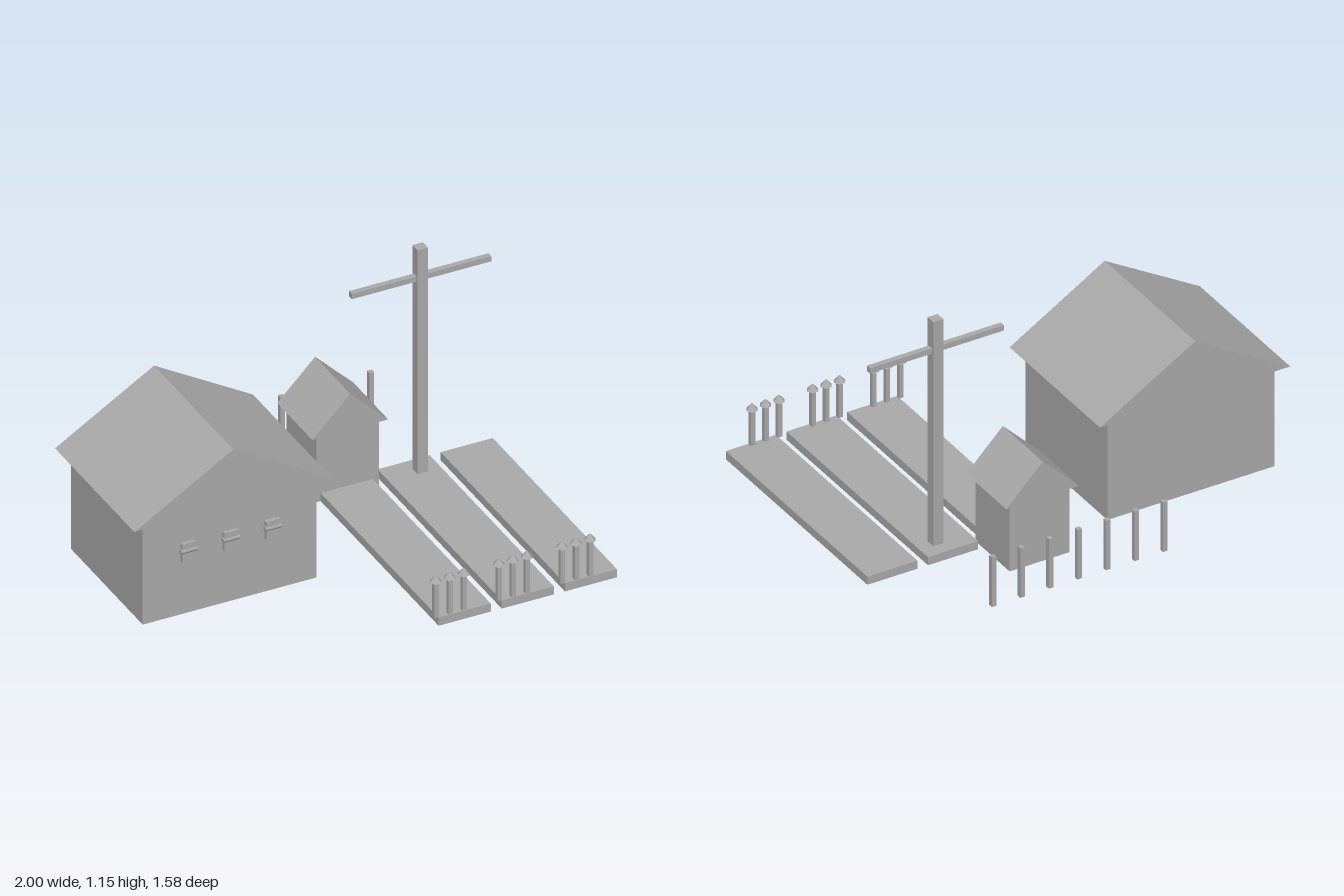
import * as THREE from 'three';

export function createModel() {
  const model = new THREE.Group();
  const grey = new THREE.MeshStandardMaterial({ color: 0xaaaaaa });
  grey.name = 'plain grey';

  function add(name, geometry, x, y, z, parent = model) {
    const mesh = new THREE.Mesh(geometry, grey);
    mesh.name = name;
    mesh.position.set(x, y, z);
    parent.add(mesh);
    return mesh;
  }

  // Box standing on height y
  function block(name, w, h, d, x, y, z, parent) {
    return add(name, new THREE.BoxGeometry(w, h, d), x, y + h / 2, z, parent);
  }

  function group(name) {
    const g = new THREE.Group();
    g.name = name;
    model.add(g);
    return g;
  }

  // Walls with an overhanging gable roof, ridge along z
  function building(name, x, z, wall, roof) {
    const g = group(name);
    block('walls', wall.w, wall.h, wall.d, x, 0, z, g);
    const gable = new THREE.Shape([
      new THREE.Vector2(-roof.w / 2, 0),
      new THREE.Vector2(roof.w / 2, 0),
      new THREE.Vector2(0, roof.h),
    ]);
    const prism = new THREE.ExtrudeGeometry(gable, { depth: roof.d, bevelEnabled: false });
    add('roof', prism, x, wall.h, z - roof.d / 2, g);
    return g;
  }

  const house = building('house', -0.535, -0.123,
    { w: 0.816, h: 0.495, d: 0.665 }, { w: 0.93, h: 0.277, d: 0.735 });
  building('shed', 0.285, -0.452,
    { w: 0.294, h: 0.332, d: 0.275 }, { w: 0.357, h: 0.178, d: 0.325 });

  // Windows, each with a round crossbar
  const barGeometry = new THREE.CylinderGeometry(0.0125, 0.0125, 0.076, 8).rotateZ(Math.PI / 2);
  for (const x of [-0.733, -0.535, -0.338]) {
    block('window', 0.066, 0.09, 0.018, x, 0.265, 0.219, house);
    add('windowBar', barGeometry, x, 0.318, 0.22, house);
  }

  // Garden beds, each with a row of three flowers
  const headGeometry = new THREE.ConeGeometry(0.027, 0.032, 6).rotateY(Math.PI / 6).toNonIndexed();
  headGeometry.computeVertexNormals();
  for (let i = 0; i < 3; i++) {
    const g = group('gardenBed');
    const x = 0.281 + i * 0.2965;
    block('soil', 0.245, 0.04, 1.15, x, 0, 0.203, g);
    for (let j = 0; j < 3; j++) {
      const fx = x - 0.13 + j * 0.066;
      block('flowerStem', 0.021, 0.175, 0.021, fx, 0.04, 0.765, g);
      add('flowerHead', headGeometry, fx, 0.23, 0.765, g);
    }
  }

  // Tall pole with crossbar
  const pole = group('utilityPole');
  block('post', 0.049, 1.11, 0.047, 0.612, 0.04, -0.286, pole);
  block('crossbar', 0.655, 0.026, 0.026, 0.612, 0.989, -0.286, pole);

  // Row of fence posts at the back
  const fence = group('fence');
  for (let i = 0; i < 7; i++) {
    block('fencePost', 0.022, 0.245, 0.022, -0.208 + i * 0.1395, 0, -0.78, fence);
  }

  return model;
}
